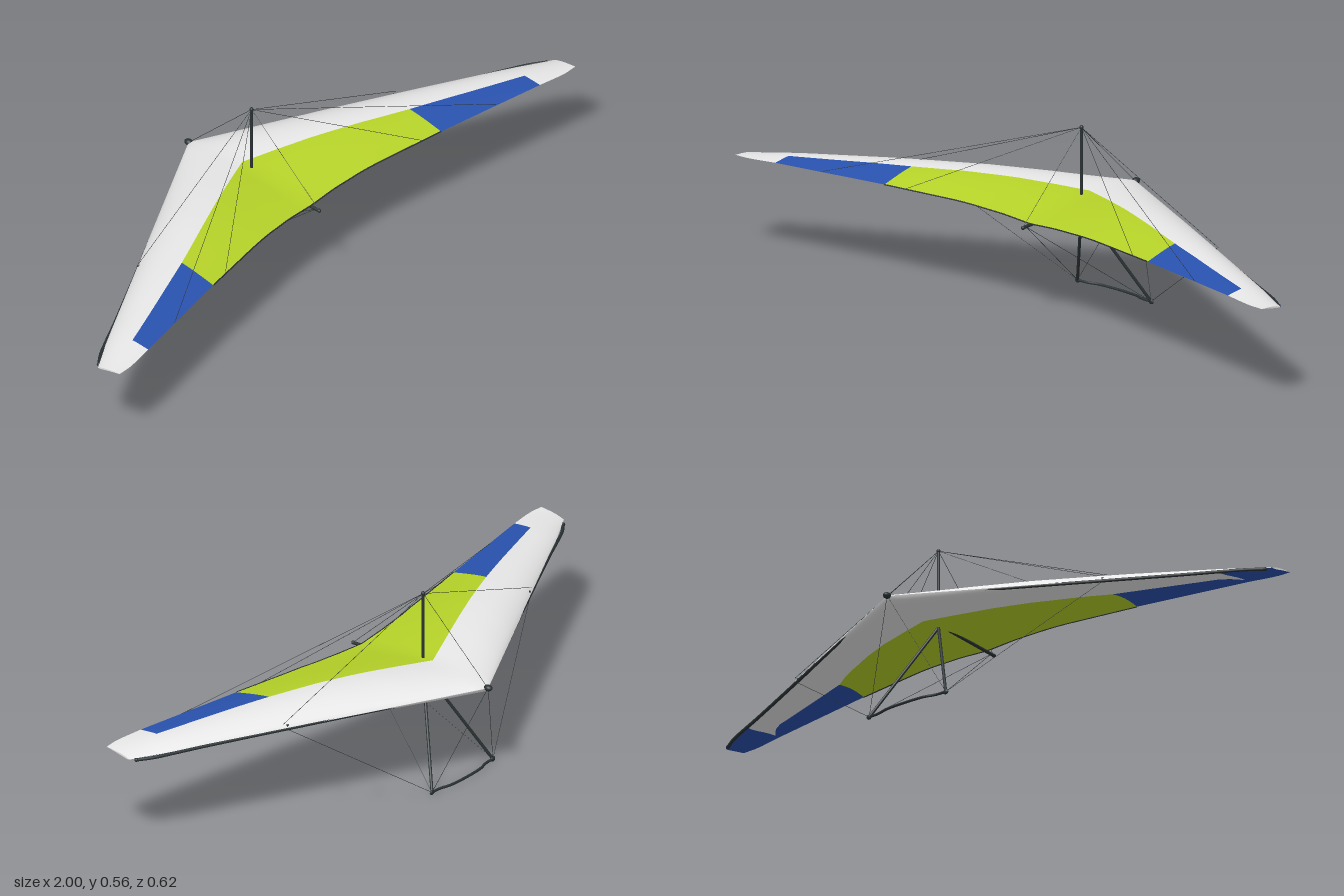
import * as THREE from 'three';

const mat = (name, color, side = THREE.FrontSide) => {
  const m = new THREE.MeshStandardMaterial({ color, side });
  m.name = name;
  return m;
};
const V = (x, y, z) => new THREE.Vector3(x, y, z);

// linear interpolation in a short [x, value] table
function lookup(table, x) {
  for (let i = 1; i < table.length; i++) {
    const [x0, v0] = table[i - 1], [x1, v1] = table[i];
    if (x <= x1) return v0 + (v1 - v0) * (x - x0) / (x1 - x0);
  }
  return table[table.length - 1][1];
}

// sail plan and section, by distance from the centre line
const leadZ = [[0, -0.298], [0.84, 0.136], [0.9, 0.168], [0.96, 0.203], [1, 0.225]];
const trailZ = [[0, 0.17], [0.1, 0.173], [0.2, 0.182], [0.3, 0.197], [0.5, 0.231], [0.86, 0.295], [0.95, 0.31], [1, 0.308]];
const leadY = [[0, 0.321], [1, 0.315]];
const trailY = [[0, 0.319], [0.1, 0.326], [0.25, 0.334], [0.5, 0.337], [0.86, 0.336], [1, 0.331]];
const upperH = [[0, 0.028], [0.1, 0.034], [0.2, 0.039], [0.35, 0.041], [0.6, 0.032], [0.86, 0.016], [1, 0.004]];
const lowerH = [[0, 0.023], [0.15, 0.019], [0.3, 0.013], [0.6, 0.008], [1, 0.002]];
const hollow = [[0, 0], [0.25, 0.1], [0.5, 0.3], [0.82, 0.3], [0.9, 0], [1, 0]];
// chord fraction where the coloured panels begin, above and below
const panelTop = [[0, 0.436], [0.04, 0.445], [0.5, 0.555], [0.86, 0.6], [1, 0.6]];
const panelUnder = [[0, 0.36], [0.2, 0.36], [0.3, 0.39], [0.4, 0.45], [0.45, 0.5], [0.5, 0.58], [0.8, 0.63], [0.83, 0.7], [0.86, 0.88], [0.9, 0.6]];

function sailPoint(x, t, upper) {
  const a = Math.abs(x);
  const z = THREE.MathUtils.lerp(lookup(leadZ, a), lookup(trailZ, a), t);
  const y = THREE.MathUtils.lerp(lookup(leadY, a), lookup(trailY, a), t);
  const h = lookup(upperH, a);
  const bulge = upper
    ? h * Math.sin(Math.PI * Math.pow(t, 0.7))
    : h * lookup(hollow, a) * Math.sin(Math.PI * t * t)
      - lookup(lowerH, a) * 1.3 * Math.sin(Math.PI * Math.sqrt(t)) * (1 - t);
  return V(x, y + bulge, z);
}

// one skin of the sail; materials are 0 white, 1 green, 2 blue
function sailSkin(upper) {
  const half = [0, 0.04, 0.08, 0.12, 0.16, 0.2, 0.25, 0.3, 0.35, 0.4, 0.45, 0.48, 0.5, 0.56, 0.62, 0.68, 0.74, 0.8, 0.83, 0.86, 0.9, 0.93, 0.96, 0.98, 1];
  const xs = [...half.slice(1).reverse().map((x) => -x), ...half];
  const front = 12, rows = 22;
  const pos = [], lists = [[], [], []];
  for (const x of xs) {
    const split = lookup(upper ? panelTop : panelUnder, Math.abs(x));
    for (let j = 0; j <= rows; j++) {
      const t = j <= front ? split * Math.pow(j / front, 1.6) : split + (1 - split) * (j - front) / (rows - front);
      pos.push(...sailPoint(x, t, upper).toArray());
    }
  }
  for (let i = 0; i < xs.length - 1; i++) {
    const mid = Math.abs(xs[i] + xs[i + 1]) / 2;
    for (let j = 0; j < rows; j++) {
      let m = 0;
      if (j >= front && mid < 0.5) m = 1;
      else if (j >= front && mid < 0.86) m = 2;
      else if (!upper && mid > 0.86) m = 2;
      const a = i * (rows + 1) + j, b = a + 1, c = a + rows + 1, d = c + 1;
      lists[m].push(...(upper ? [a, b, c, b, d, c] : [a, c, b, b, c, d]));
    }
  }
  const geo = new THREE.BufferGeometry();
  geo.setAttribute('position', new THREE.Float32BufferAttribute(pos, 3));
  geo.setIndex(lists.flat());
  let start = 0;
  lists.forEach((l, m) => { geo.addGroup(start, l.length, m); start += l.length; });
  geo.computeVertexNormals();
  return geo;
}

// narrow face closing the sail at a wing tip
function tipFace(s) {
  const pos = [], index = [], n = 16;
  for (let j = 0; j <= n; j++) {
    pos.push(...sailPoint(s, j / n, true).toArray(), ...sailPoint(s, j / n, false).toArray());
    if (j === n) break;
    const a = 2 * j, quad = [a, a + 2, a + 1, a + 1, a + 2, a + 3];
    index.push(...(s > 0 ? quad.reverse() : quad));
  }
  const geo = new THREE.BufferGeometry();
  geo.setAttribute('position', new THREE.Float32BufferAttribute(pos, 3));
  geo.setIndex(index);
  geo.computeVertexNormals();
  return geo;
}

export function createModel() {
  const model = new THREE.Group();
  model.name = 'hangGlider';
  const white = mat('sailWhite', 0xe9e9e9, THREE.DoubleSide);
  const green = mat('sailGreen', 0xb5d228, THREE.DoubleSide);
  const blue = mat('sailBlue', 0x2952ae, THREE.DoubleSide);
  const dark = mat('frameDark', 0x2a3133);

  const add = (name, geo, material = dark) => {
    const mesh = new THREE.Mesh(geo, material);
    mesh.name = name;
    model.add(mesh);
    return mesh;
  };
  const rod = (name, a, b, r, sides = 12) => {
    const mesh = add(name, new THREE.CylinderGeometry(r, r, a.distanceTo(b), sides));
    mesh.position.copy(a).lerp(b, 0.5);
    mesh.quaternion.setFromUnitVectors(V(0, 1, 0), b.clone().sub(a).normalize());
  };
  const tube = (name, points, r) =>
    add(name, new THREE.TubeGeometry(new THREE.CatmullRomCurve3(points), 60, r, 8));
  const ball = (name, p, r, sx = 1, sy = 1, sz = 1) => {
    const mesh = add(name, new THREE.SphereGeometry(r, 16, 12));
    mesh.position.copy(p);
    mesh.scale.set(sx, sy, sz);
  };
  const wire = (name, a, b) => rod(name, a, b, 0.0007, 5);

  // sail
  add('sailTop', sailSkin(true), [white, green, blue]);
  add('sailUnderside', sailSkin(false), [white, green, blue]);
  const edge = [];
  for (let i = -10; i <= 10; i++) edge.push(sailPoint(i * 0.05, 1, true));
  tube('trailingEdgeCord', edge, 0.002);

  // centre frame
  const nose = V(0, 0.322, -0.298), mastTop = V(0, 0.551, -0.058);
  const keelEnd = V(0, 0.314, 0.2), apex = V(0, 0.308, -0.058);
  rod('keel', nose, keelEnd, 0.005);
  rod('mast', V(0, 0.305, -0.058), mastTop, 0.0045);
  ball('mastCap', mastTop, 0.006, 1, 1.2, 1);
  ball('noseCap', nose, 0.01, 1.1, 0.95, 1.4);
  ball('keelCap', keelEnd, 0.006);
  const loop = add('hangLoop', new THREE.TorusGeometry(0.006, 0.0013, 8, 20));
  loop.position.set(0, 0.301, -0.058);
  loop.rotation.y = Math.PI / 2;
  loop.scale.y = 1.6;

  // curved base bar
  tube('baseBar', [
    V(-0.14, 0.011, -0.203), V(-0.105, 0.011, -0.205), V(-0.065, 0.011, -0.215),
    V(0.065, 0.011, -0.215), V(0.105, 0.011, -0.205), V(0.14, 0.011, -0.203)], 0.004);

  // mirrored spars, control frame and rigging
  for (const s of [1, -1]) {
    const side = s > 0 ? 'left' : 'right';
    const corner = V(s * 0.14, 0.011, -0.203);
    const sparEnd = V(s * 0.982, 0.311, 0.213);
    add(side + 'TipFace', tipFace(s), white);
    tube(side + 'LeadingEdgeSpar', [
      V(0, 0.32, -0.29), V(s * 0.4, 0.317, -0.086), V(s * 0.8, 0.313, 0.116),
      V(s * 0.88, 0.312, 0.154), V(s * 0.94, 0.311, 0.184), sparEnd], 0.005);
    ball(side + 'SparCap', sparEnd, 0.006);
    rod(side + 'CrossBar', V(0, 0.32, -0.06), V(s * 0.56, 0.324, -0.002), 0.004);
    rod(side + 'Downtube', apex, corner, 0.0045);
    ball(side + 'FrameCorner', corner, 0.009, 1, 0.9, 0.5);
    wire(side + 'LowerSideWire', corner, V(s * 0.57, 0.322, 0));
    wire(side + 'LowerFrontWire', corner, nose);
    wire(side + 'LowerRearWire', corner, V(0, 0.312, 0.185));
    wire(side + 'UpperSideWire', mastTop, V(s * 0.57, 0.333, 0));
    for (const x of [0.43, 0.71]) {
      wire(side + 'LuffLine', mastTop, sailPoint(s * x, 0.99, true));
    }
  }
  wire('upperFrontWire', mastTop, V(0, 0.328, -0.29));
  wire('upperRearWire', mastTop, V(0, 0.317, 0.198));
  return model;
}
